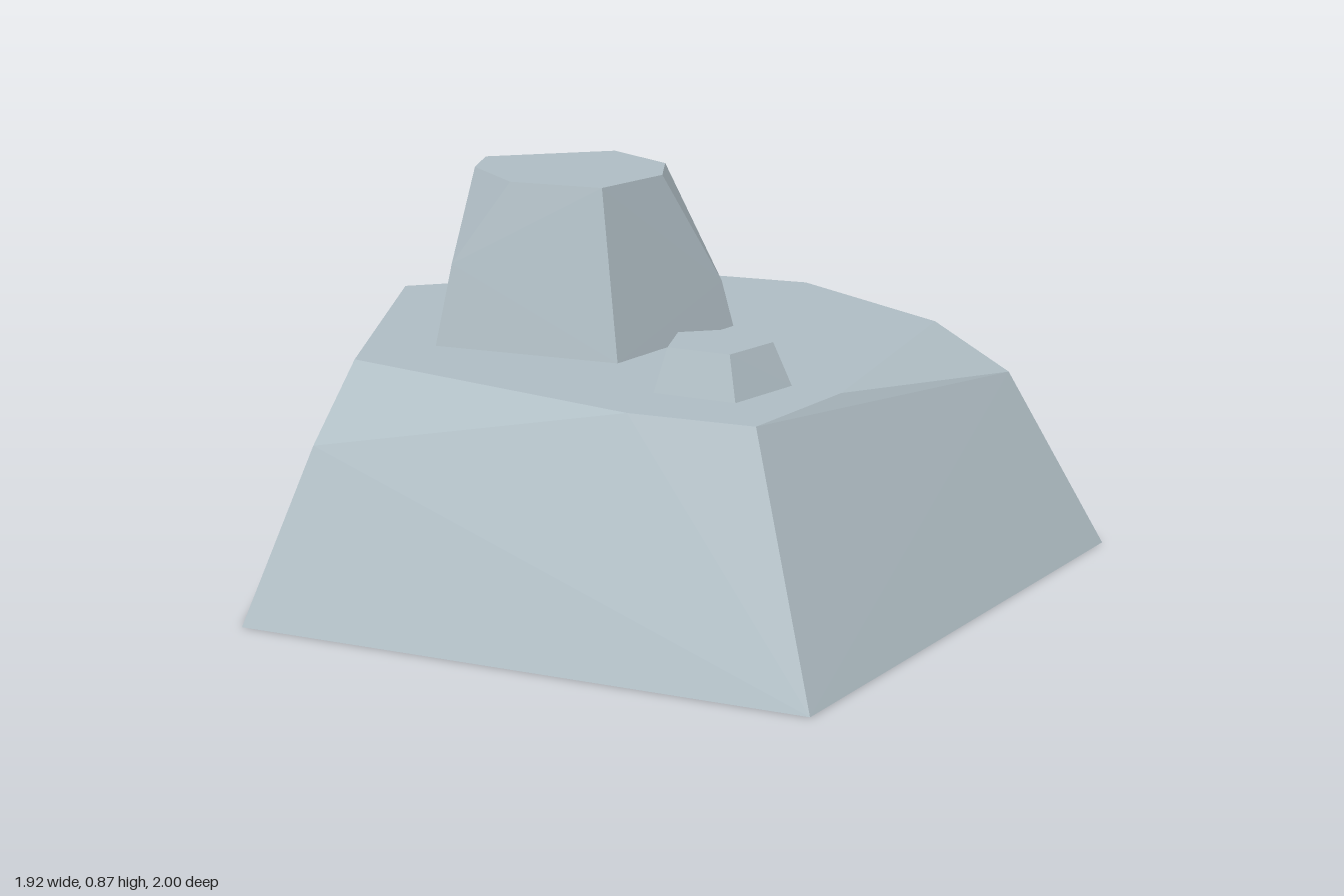
import * as THREE from 'three';
import { ConvexGeometry } from 'three/addons/geometries/ConvexGeometry.js';

const stone = new THREE.MeshStandardMaterial({ color: 0xb0bec5, flatShading: true });
stone.name = 'paleStone';

// A faceted rock: bottom ring and top ring of [x, z], plus chipped corners [x, y, z]
function rock(name, y0, y1, bottom, top, corners = []) {
  const points = [
    ...bottom.map(([x, z]) => new THREE.Vector3(x, y0, z)),
    ...top.map(([x, z]) => new THREE.Vector3(x, y1, z)),
    ...corners.map((c) => new THREE.Vector3(...c)),
  ];
  const mesh = new THREE.Mesh(new ConvexGeometry(points), stone);
  mesh.name = name;
  return mesh;
}

export function createModel() {
  const group = new THREE.Group();
  group.name = 'rockFormation';
  const ledge = 0.497;

  // Wide base with three chipped corners
  group.add(rock('baseRock', 0, ledge,
    [[-0.2, -1], [0.96, -0.575], [0.912, 0.66], [-0.275, 1], [-0.96, -0.03]],
    [[-0.15, -0.742], [0.48, -0.512], [0.705, -0.185], [0.683, 0.31],
      [0.09, 0.652], [-0.205, 0.738], [-0.355, 0.515], [-0.6, -0.17]],
    [[0.9, 0.12, -0.542], [0.718, 0.415, 0.52], [-0.78, 0.368, -0.025]]));

  // Tall rock on the ledge with two chipped corners
  group.add(rock('upperRock', ledge, 0.867,
    [[-0.122, -0.512], [0.285, -0.362], [0.267, 0.07], [-0.15, 0.192], [-0.395, -0.17]],
    [[-0.105, -0.415], [0.195, -0.308], [0.185, -0.09], [0.083, 0.037],
      [-0.125, 0.098], [-0.245, -0.085], [-0.205, -0.3]],
    [[0.245, 0.605, 0.052], [-0.35, 0.68, -0.168]]));

  // Small pebble near the front
  group.add(rock('pebble', ledge, 0.589,
    [[-0.1, 0.295], [0.065, 0.373], [0.043, 0.55], [-0.135, 0.585], [-0.225, 0.427]],
    [[-0.095, 0.337], [0.03, 0.39], [0.015, 0.52], [-0.122, 0.548], [-0.19, 0.427]]));

  return group;
}
